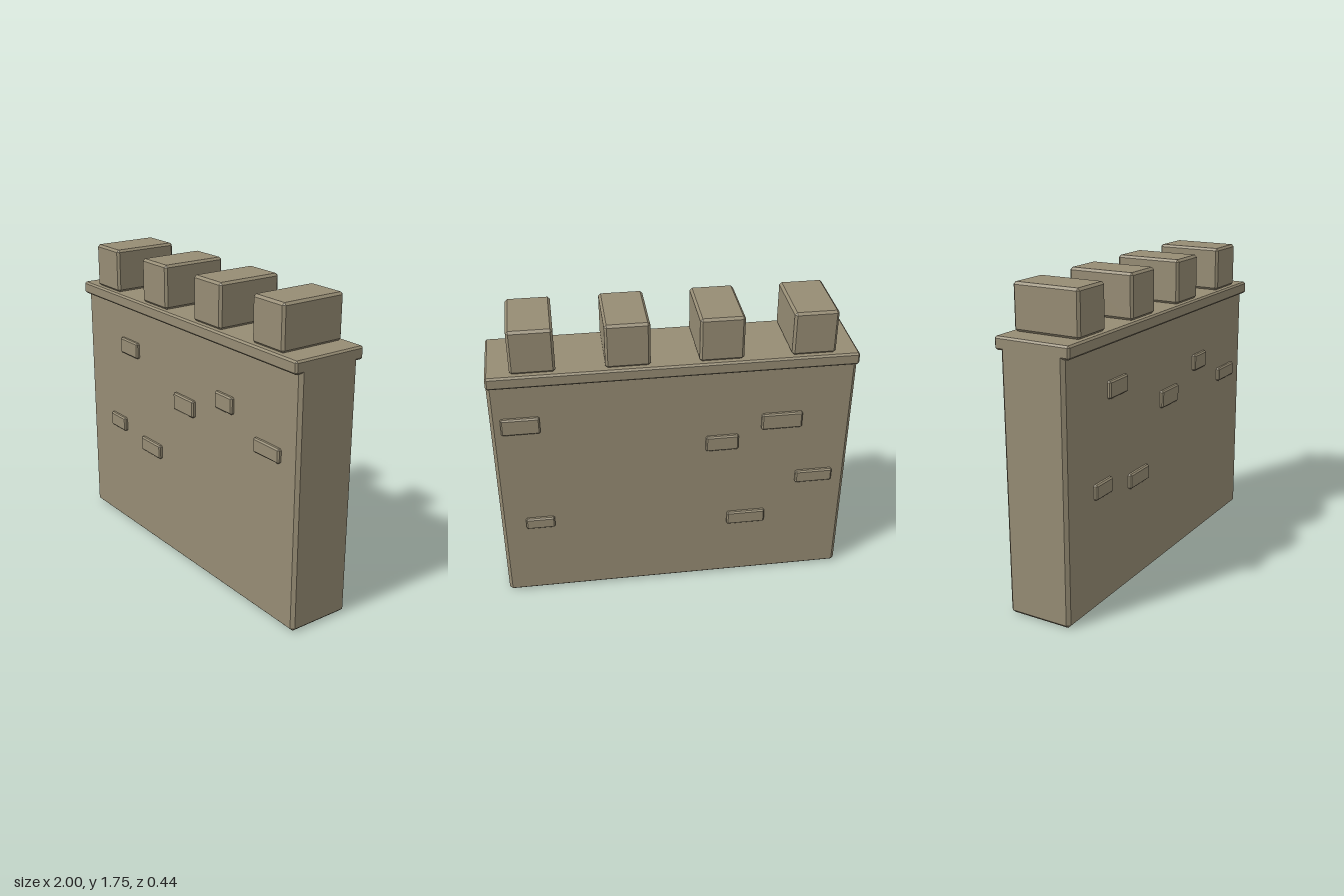
import * as THREE from 'three';
import { ConvexGeometry } from 'three/addons/geometries/ConvexGeometry.js';

// Box with flat chamfered edges, centred on the origin
function chamferBox(w, h, d, c) {
  const points = [];
  for (const sx of [-1, 1]) for (const sy of [-1, 1]) for (const sz of [-1, 1]) {
    const x = w / 2, y = h / 2, z = d / 2;
    points.push(
      new THREE.Vector3(sx * x, sy * (y - c), sz * (z - c)),
      new THREE.Vector3(sx * (x - c), sy * y, sz * (z - c)),
      new THREE.Vector3(sx * (x - c), sy * (y - c), sz * z),
    );
  }
  return new ConvexGeometry(points);
}

export function createModel() {
  const model = new THREE.Group();
  model.name = 'battlementWall';
  const stone = new THREE.MeshStandardMaterial({ color: 0x968c74 });
  stone.name = 'stone';

  function block(name, size, position, chamfer) {
    const mesh = new THREE.Mesh(chamferBox(...size, chamfer), stone);
    mesh.name = name;
    mesh.position.set(...position);
    model.add(mesh);
  }

  // Main wall, its top hidden inside the ledge
  block('wall', [2, 1.47, 0.375], [0, 0.735, 0], 0.018);

  // Overhanging ledge
  block('ledge', [2, 0.07, 0.44], [0, 1.465, 0], 0.01);

  // Four merlons
  for (let i = 0; i < 4; i++) {
    block('merlon', [0.24, 0.25, 0.39], [-0.75 + i * 0.5, 1.625, 0], 0.013);
  }

  // Raised bricks: x, y, width, height
  const frontBricks = [
    [-0.52, 1.185, 0.18, 0.095], [0.04, 0.99, 0.19, 0.1], [0.41, 1.115, 0.15, 0.095],
    [0.77, 0.965, 0.205, 0.08], [-0.67, 0.67, 0.16, 0.085], [-0.305, 0.615, 0.2, 0.085],
  ];
  const backBricks = [
    [0.84, 1.18, 0.21, 0.1], [0.78, 0.51, 0.165, 0.07], [-0.265, 0.97, 0.185, 0.095],
    [-0.6, 1.09, 0.23, 0.1], [-0.81, 0.69, 0.215, 0.08], [-0.42, 0.425, 0.225, 0.085],
  ];
  for (const [name, bricks, z] of [['frontBrick', frontBricks, 0.19], ['backBrick', backBricks, -0.19]]) {
    for (const [x, y, w, h] of bricks) block(name, [w, h, 0.036], [x, y, z], 0.008);
  }

  return model;
}
